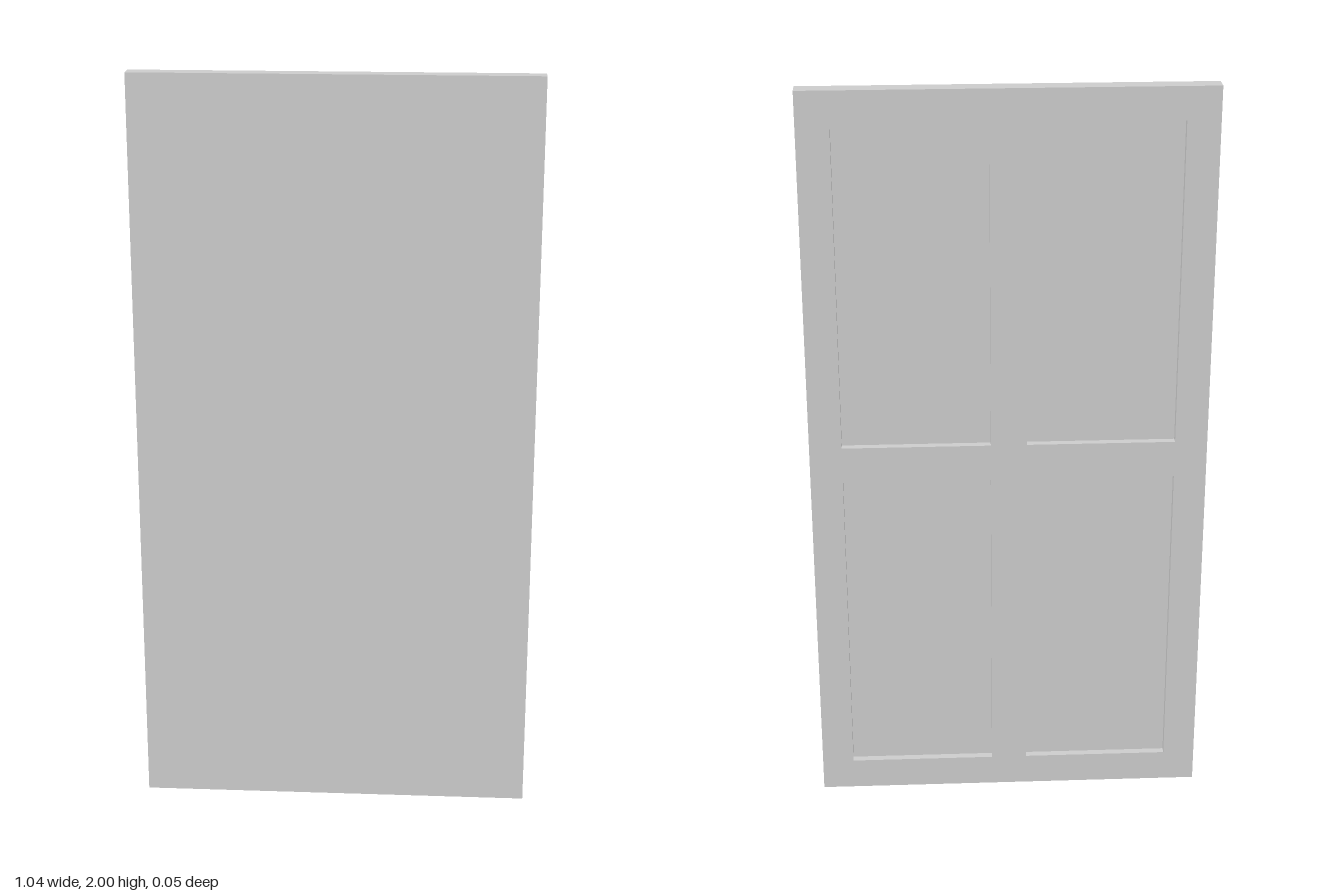
import * as THREE from 'three';

const W = 1.045, H = 2, D = 0.045;   // overall door size
const EDGE_X = 0.085, EDGE_Y = 0.086; // outer stiles and rails
const MID_X = 0.095, MID_Y = 0.1;     // centre stile and rail
const RECESS = 0.02;

const material = new THREE.MeshStandardMaterial({ color: 0xcccccc });

// Box with its -z face left out; optionally turned inside out
function openBox(w, h, d, inward = false) {
  const geo = new THREE.BoxGeometry(w, h, d);
  const index = Array.from(geo.index.array).slice(0, 30);
  geo.clearGroups();
  geo.setIndex(inward ? index.reverse() : index);
  geo.computeVertexNormals();
  return geo;
}

function rectangle(Type, cx, cy, w, h) {
  const p = new Type();
  p.moveTo(cx - w / 2, cy - h / 2);
  p.lineTo(cx + w / 2, cy - h / 2);
  p.lineTo(cx + w / 2, cy + h / 2);
  p.lineTo(cx - w / 2, cy + h / 2);
  p.closePath();
  return p;
}

export function createModel() {
  const door = new THREE.Group();
  door.name = 'door';
  const add = (name, geo, x, y, z) => {
    const mesh = new THREE.Mesh(geo, material);
    mesh.name = name;
    mesh.position.set(x, y, z);
    door.add(mesh);
    return mesh;
  };

  // Plain front and outer edges
  add('doorSlab', openBox(W, H, D), 0, H / 2, 0);

  // Four recessed panels, two by two, opening to the back
  const pw = (W - 2 * EDGE_X - MID_X) / 2;
  const ph = (H - 2 * EDGE_Y - MID_Y) / 2;
  const frame = rectangle(THREE.Shape, 0, 0, W, H);
  for (const sx of [-1, 1]) {
    for (const sy of [-1, 1]) {
      const x = sx * (MID_X + pw) / 2;
      const y = sy * (MID_Y + ph) / 2;
      frame.holes.push(rectangle(THREE.Path, x, y, pw, ph));
      const name = (sy > 0 ? 'upper' : 'lower') + (sx > 0 ? 'Left' : 'Right') + 'Panel';
      add(name, openBox(pw, ph, RECESS, true), x, H / 2 + y, -D / 2 + RECESS / 2);
    }
  }

  // Stiles and rails around the panels, facing back
  add('backFrame', new THREE.ShapeGeometry(frame).rotateY(Math.PI), 0, H / 2, -D / 2);

  return door;
}
